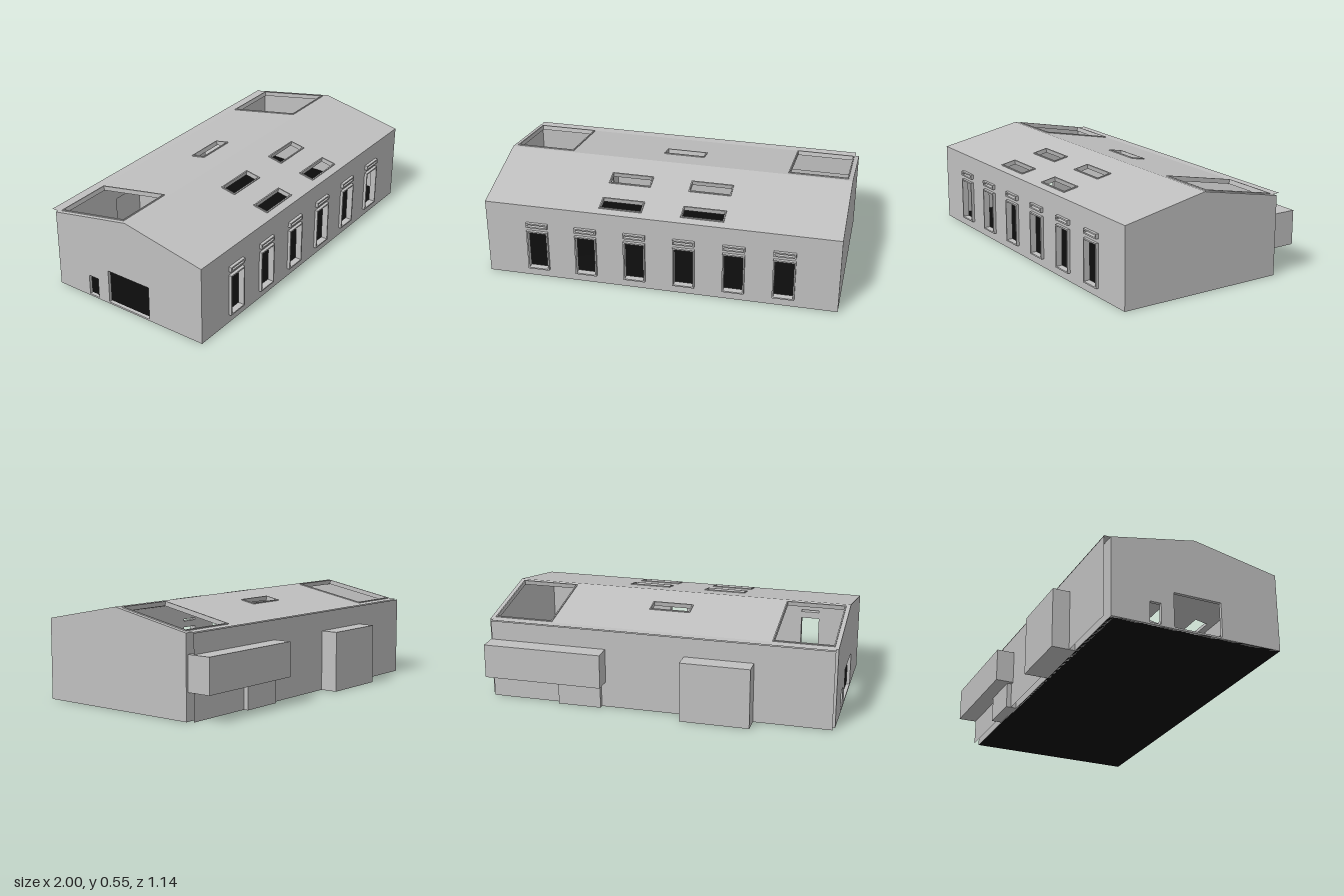
import * as THREE from 'three';

const T = 0.02; // wall and roof thickness

// Rectangle outline from two corners
function rect(Type, x0, y0, x1, y1) {
  const p = new Type();
  p.moveTo(x0, y0);
  p.lineTo(x1, y0);
  p.lineTo(x1, y1);
  p.lineTo(x0, y1);
  p.closePath();
  return p;
}

const extrude = (shape, depth) => new THREE.ExtrudeGeometry(shape, { depth, bevelEnabled: false });

function panel(shape, holes, depth) {
  shape.holes.push(...holes.map((h) => rect(THREE.Path, ...h)));
  return extrude(shape, depth);
}

// Flat rectangular frame lying just inside the given corners
function ring([x0, y0, x1, y1], w, depth) {
  return panel(rect(THREE.Shape, x0, y0, x1, y1), [[x0 + w, y0 + w, x1 - w, y1 - w]], depth);
}

export function createModel() {
  const group = new THREE.Group();
  const grey = new THREE.MeshStandardMaterial({ color: 0xc0c0c0 });
  grey.name = 'wallGrey';
  const greyOpen = new THREE.MeshStandardMaterial({ color: 0xc0c0c0 });
  greyOpen.name = 'wallGrey';
  const black = new THREE.MeshStandardMaterial({ color: 0x0c0c0c });
  black.name = 'floorBlack';

  const add = (name, geo, mat = grey, x = 0, y = 0, z = 0, parent = group) => {
    const m = new THREE.Mesh(geo, mat);
    m.name = name;
    m.position.set(x, y, z);
    parent.add(m);
    return m;
  };

  const front = 0.555, back = -0.432, eave = 0.455, ridgeY = 0.552, ridgeZ = 0.06;

  // Floor slab
  add('floor', new THREE.BoxGeometry(1.996, 0.01, front - back - 0.004), black, 0, 0.005, (front + back) / 2);

  // Front wall with six windows and the transom lights above them
  const openings = [];
  for (let i = 0; i < 6; i++) {
    const c = -0.703 + i * 0.28;
    openings.push([c - 0.062, 0.05, c + 0.062, 0.298], [c - 0.062, 0.321, c + 0.062, 0.349]);
  }
  const w = 0.008;
  const cuts = openings.map(([a, b, c, d]) => [a + w, b + w, c - w, d - w]);
  add('frontWall', panel(rect(THREE.Shape, -0.98, 0, 0.98, eave), cuts, T), grey, 0, 0, front - T);
  openings.forEach((o) => add('windowFrame', ring(o, w, 0.017), grey, 0, 0, front));

  // Gable walls; the -x one has a wide and a small doorway
  const gable = () => new THREE.Shape([
    [back, 0], [front, 0], [front, eave], [ridgeZ, ridgeY], [back, eave],
  ].map(([a, b]) => new THREE.Vector2(a, b)));
  add('leftGable', panel(gable(), [], T), grey, 1).rotation.y = -Math.PI / 2;
  const doors = [[-0.075, 0.01, 0.205, 0.21], [-0.215, 0.01, -0.15, 0.13]];
  add('rightGable', panel(gable(), doors, T), grey, -1 + T).rotation.y = -Math.PI / 2;

  // Back wall, opened where the annexes join, with an outer skin and a cap strip
  const niches = [[0.32, 0.165, 0.96, 0.33], [-0.53, 0.015, -0.17, 0.33]];
  add('backWall', panel(rect(THREE.Shape, -0.98, 0, 0.98, eave), niches, T), grey, 0, 0, back);
  const skin = rect(THREE.Shape, -0.98, 0, 0.99, eave);
  skin.holes.push(...niches.map(([a, b, c, d]) => rect(THREE.Path, -c, b, -a, d)));
  add('backSkin', new THREE.ShapeGeometry(skin), grey, 0, 0, -0.466).rotation.y = Math.PI;
  const cap = add('backCap', new THREE.PlaneGeometry(1.97, 0.05), greyOpen, -0.005, 0.459, -0.441);
  cap.rotation.x = -Math.PI / 2;
  greyOpen.side = THREE.DoubleSide;

  // Annexes: hollow boxes open towards the hall
  const annex = (name, x0, x1, y0, y1, z0) => {
    const g = new THREE.Group();
    g.name = name;
    const z1 = back, d = z1 - z0, t = 0.015;
    add('annexBack', new THREE.BoxGeometry(x1 - x0, y1 - y0, t), grey, (x0 + x1) / 2, (y0 + y1) / 2, z0 + t / 2, g);
    for (const y of [y0 + t / 2, y1 - t / 2])
      add('annexSlab', new THREE.BoxGeometry(x1 - x0, t, d), grey, (x0 + x1) / 2, y, (z0 + z1) / 2, g);
    for (const x of [x0 + t / 2, x1 - t / 2])
      add('annexSide', new THREE.BoxGeometry(t, y1 - y0, d), grey, x, (y0 + y1) / 2, (z0 + z1) / 2, g);
    group.add(g);
  };
  annex('wideAnnex', 0.3, 0.985, 0.15, 0.345, -0.571);
  annex('tallAnnex', -0.55, -0.155, 0, 0.345, -0.565);
  add('lowBox', new THREE.BoxGeometry(0.25, 0.15, 0.06), grey, 0.45, 0.075, -0.463);

  // Roof slopes with framed openings; each opening is given as x0, z0, x1, z1
  const slope = (name, eaveZ, holes) => {
    const s = Math.sign(eaveZ); // +1 front, -1 back
    const run = Math.abs(eaveZ - ridgeZ), rise = ridgeY - eave, len = Math.hypot(run, rise);
    const X = new THREE.Vector3(s, 0, 0);
    const up = new THREE.Vector3(0, rise / len, (-s * run) / len);
    const n = X.clone().cross(up);
    const g = new THREE.Group();
    g.name = name;
    g.applyMatrix4(new THREE.Matrix4().makeBasis(X, up, n).setPosition(0, eave, eaveZ));
    const along = (z) => (Math.abs(eaveZ - z) * len) / run;
    const local = holes.map(([x0, z0, x1, z1]) => {
      const xs = [s * x0, s * x1].sort((a, b) => a - b);
      const vs = [along(z0), along(z1)].sort((a, b) => a - b);
      return [xs[0], vs[0], xs[1], vs[1]];
    });
    add('roofSlab', panel(rect(THREE.Shape, -0.98, 0, 0.98, len), local, T), grey, 0, 0, -T, g);
    const f = 0.007;
    local.forEach(([a, b, c, d]) =>
      add('skylightFrame', ring([a - f, b - f, c + f, d + f], f, 0.006), grey, 0, 0, 0, g));
    group.add(g);
  };
  const frontLights = [];
  for (const x of [-0.345, 0.115])
    for (const z of [0.212, 0.428]) frontLights.push([x, z, x + 0.228, z + 0.076]);
  slope('frontRoof', front, frontLights);
  slope('backRoof', back, [
    [-0.97, -0.4, -0.643, 0.028],
    [0.64, -0.4, 0.967, 0.028],
    [-0.11, -0.172, 0.115, -0.098],
  ]);

  return group;
}
